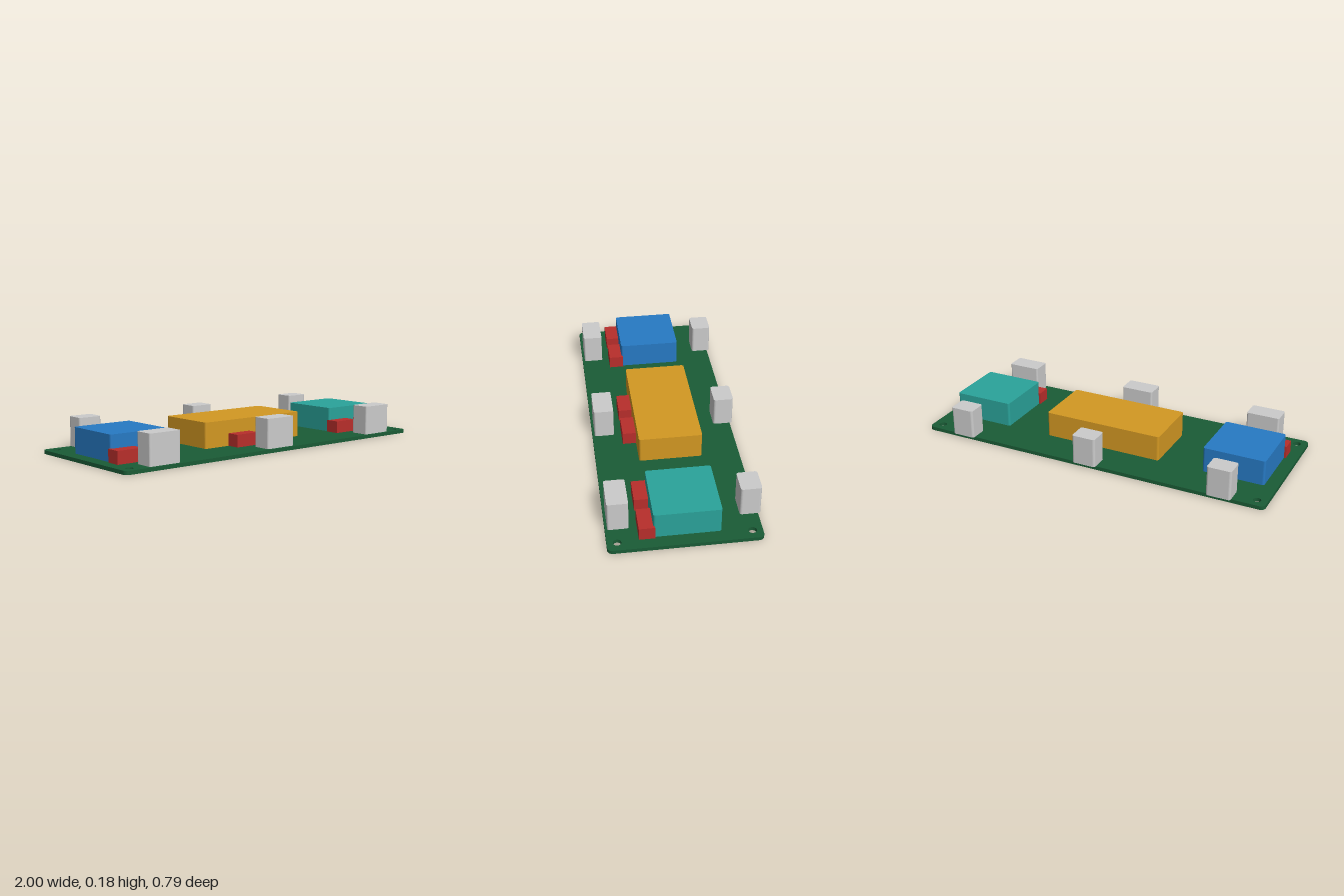
import * as THREE from 'three';

const BOARD_TOP = 0.02;

const material = (color) => new THREE.MeshStandardMaterial({ color });

// Rounded rectangle outline centred on the origin
function roundedRect(w, d, r) {
  const x = w / 2, y = d / 2, s = new THREE.Shape();
  s.moveTo(-x + r, -y);
  s.lineTo(x - r, -y);
  s.absarc(x - r, -y + r, r, -Math.PI / 2, 0);
  s.lineTo(x, y - r);
  s.absarc(x - r, y - r, r, 0, Math.PI / 2);
  s.lineTo(-x + r, y);
  s.absarc(-x + r, y - r, r, Math.PI / 2, Math.PI);
  s.lineTo(-x, -y + r);
  s.absarc(-x + r, -y + r, r, Math.PI, Math.PI * 1.5);
  return s;
}

// Upright slab: the outline lies in the ground plane and rises from y = 0
function slab(shape, height) {
  const g = new THREE.ExtrudeGeometry(shape, { depth: height, bevelEnabled: false, curveSegments: 8 });
  return g.rotateX(-Math.PI / 2);
}

export function createModel() {
  const model = new THREE.Group();
  model.name = 'circuitBoard';

  function add(name, geometry, mat, x, y, z) {
    const mesh = new THREE.Mesh(geometry, mat);
    mesh.name = name;
    mesh.position.set(x, y, z);
    model.add(mesh);
  }

  // Board with four mounting holes
  const outline = roundedRect(2, 0.772, 0.027);
  for (const x of [-0.945, 0.945]) {
    for (const z of [-0.334, 0.334]) {
      outline.holes.push(new THREE.Path().absarc(x, z, 0.021, 0, Math.PI * 2, true));
    }
  }
  add('board', slab(outline, BOARD_TOP), material(0x1a5c36), 0, 0, 0.008);

  // Three large modules
  const modules = [
    ['rightModule', -0.76, 0.34, 0.138, 0x277ac4],
    ['centreModule', 0, 0.675, 0.14, 0xd39822],
    ['leftModule', 0.76, 0.34, 0.138, 0x2aa39a],
  ];
  for (const [name, x, width, height, color] of modules) {
    add(name, slab(roundedRect(width, 0.338, 0.012), height), material(color), x, BOARD_TOP, -0.006);
  }

  // Each column has a front connector, a back connector and two small blocks
  const grey = material(0xcccccc), red = material(0xb82e2b);
  const frontGeo = slab(roundedRect(0.185, 0.107, 0.01), 0.161);
  const backGeo = slab(roundedRect(0.133, 0.107, 0.013), 0.161);
  const blockGeo = new THREE.BoxGeometry(0.146, 0.068, 0.08);
  for (const x of [-0.76, 0, 0.76]) {
    add('frontConnector', frontGeo, grey, x, BOARD_TOP, 0.328);
    add('backConnector', backGeo, grey, x, BOARD_TOP, -0.339);
    for (const dx of [-0.107, 0.107]) {
      add('terminalBlock', blockGeo, red, x + dx, BOARD_TOP + 0.034, 0.195);
    }
  }

  return model;
}
